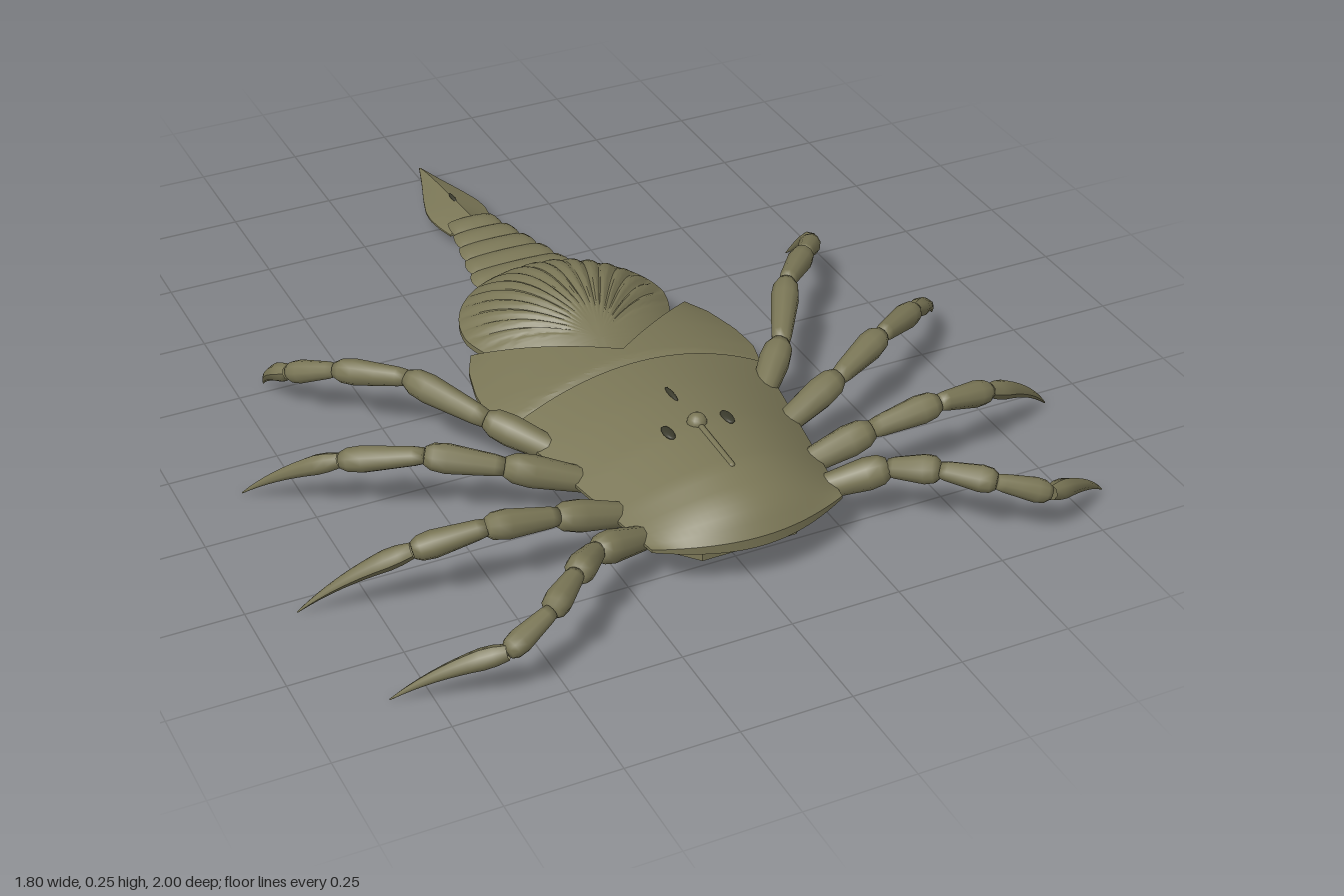
import * as THREE from 'three';
import { toCreasedNormals } from 'three/addons/utils/BufferGeometryUtils.js';

const olive = new THREE.MeshStandardMaterial({ color: 0x7a7656, side: THREE.DoubleSide });
const dark = new THREE.MeshStandardMaterial({ color: 0x3a3a2c });
const { lerp, smoothstep } = THREE.MathUtils;

function add(parent, name, geometry, material = olive) {
  const mesh = new THREE.Mesh(geometry, material);
  mesh.name = name;
  parent.add(mesh);
  return mesh;
}

// Piecewise linear lookup in [[position, value], ...] with rising positions
function sample(table, p) {
  if (p <= table[0][0]) return table[0][1];
  for (let i = 1; i < table.length; i++) {
    const [a, va] = table[i - 1], [b, vb] = table[i];
    if (p <= b) return lerp(va, vb, (p - a) / (b - a));
  }
  return table[table.length - 1][1];
}

// Closed plate: f(u, t) gives [x, top, bottom, z], u in -1..1, t in 0..1
function plate(nu, nt, f) {
  const pos = [], index = [], ring = 2 * (nu + 1);
  for (let j = 0; j <= nt; j++) {
    const row = [];
    for (let i = 0; i <= nu; i++) row.push(f((2 * i) / nu - 1, j / nt));
    for (const [x, top, , z] of row) pos.push(x, top, z);
    for (const [x, , bottom, z] of row.reverse()) pos.push(x, bottom, z);
  }
  const quad = (a, b, c, d) => index.push(a, b, c, a, c, d);
  for (let j = 0; j < nt; j++)
    for (let i = 0; i < ring; i++) {
      const n = (i + 1) % ring, a = j * ring, b = a + ring;
      quad(a + i, b + i, b + n, a + n);
    }
  for (let i = 0; i < nu; i++) {
    const k = ring - 1 - i, e = nt * ring;
    quad(i, i + 1, k - 1, k);
    quad(e + i, e + k, e + k - 1, e + i + 1);
  }
  const geo = new THREE.BufferGeometry();
  geo.setAttribute('position', new THREE.Float32BufferAttribute(pos, 3));
  geo.setIndex(index);
  return toCreasedNormals(geo, 0.6);
}

// Swollen leg segment between two joints
function segment(parent, name, a, b, r) {
  const len = a.distanceTo(b);
  const profile = [[0, 0], [0.6, 0], [0.72, 0.12], [0.85, 0.4], [1, 0.72], [0.9, 0.9], [0.6, 1], [0, 1.01]]
    .map(([x, y]) => new THREE.Vector2(x * r, y * len));
  const mesh = add(parent, name, new THREE.LatheGeometry(profile, 10));
  mesh.position.copy(a);
  mesh.quaternion.setFromUnitVectors(new THREE.Vector3(0, 1, 0), b.clone().sub(a).normalize());
}

// Curved claw: a tube narrowed ring by ring to a point
function claw(parent, a, b, r) {
  const mid = a.clone().lerp(b, 0.5).add(new THREE.Vector3(0.02, 0.025, 0));
  const curve = new THREE.QuadraticBezierCurve3(a, mid, b);
  const n = 10, sides = 8;
  const geo = new THREE.TubeGeometry(curve, n, r, sides);
  const p = geo.attributes.position, v = new THREE.Vector3();
  for (let i = 0; i < p.count; i++) {
    const t = Math.floor(i / (sides + 1)) / n;
    const c = curve.getPointAt(t);
    v.fromBufferAttribute(p, i).sub(c).multiplyScalar(sample([[0, 0.7], [0.15, 1], [1, 0.06]], t)).add(c);
    p.setXYZ(i, v.x, v.y, v.z);
  }
  geo.computeVertexNormals();
  add(parent, 'claw', geo);
}

export function createModel() {
  const model = new THREE.Group();
  model.name = 'armouredArthropod';

  // Domed head shield, tapering to a rounded front
  const rise = [[0, 0.088], [0.25, 0.098], [0.5, 0.104], [0.75, 0.098], [0.88, 0.076], [0.95, 0.05], [1, 0.01]];
  add(model, 'headShield', plate(28, 32, (u, t) => {
    const z = lerp(0.28, 0.865 - 0.065 * u * u, t);
    const dome = 1 - u * u;
    return [u * sample([[0.28, 0.31], [0.8, 0.222], [0.87, 0.21]], z),
      0.122 + sample(rise, t) * dome, 0.115 - 0.025 * dome * (1 - 0.7 * t), z];
  }));

  // Second shield with a V notch and two rear horns
  const midWidth = [[-0.03, 0.27], [0.03, 0.3], [0.12, 0.322], [0.2, 0.328], [0.28, 0.308]];
  add(model, 'midShield', plate(28, 16, (u, t) => {
    const z = lerp(0.2 - 0.23 * Math.abs(u), 0.28, t);
    const dome = 1 - u * u;
    const step = 1 - smoothstep(z, 0.28 - 0.05 * dome, 0.281);
    return [u * sample(midWidth, z), 0.115 + (0.045 + 0.035 * step) * dome, 0.105 - 0.015 * dome, z];
  }));

  // Ribbed fan shell over the abdomen; ribs spread from a hinge near the front
  add(model, 'fanShell', plate(192, 16, (u, t) => {
    const a = u * Math.PI;
    const pinch = 1 - 0.12 * Math.max(0, Math.cos(a));
    const x = t * 0.25 * Math.sin(a) * pinch;
    const z = lerp(0.08, -0.1 + 0.24 * Math.cos(a), t);
    const s = Math.min(1, Math.hypot(x / (0.25 * pinch), (z + 0.1) / 0.24));
    const mask = smoothstep(-Math.cos(a), -0.45, 0.1) * smoothstep(t, 0.1, 0.4) * (1 - smoothstep(t, 0.9, 1));
    const rib = -0.007 * mask * Math.pow(0.5 - 0.5 * Math.cos(30 * a), 2);
    return [x, 0.108 + 0.095 * (1 - Math.pow(s, 2.2)) + rib, 0.095, z];
  }));

  // Overlapping abdomen and tail rings, partly under the shell
  const tail = new THREE.Group();
  tail.name = 'tail';
  model.add(tail);
  for (let i = 0; i < 9; i++) {
    const front = -0.045 - 0.069 * i, w = 0.187 - 0.0152 * i;
    const y = sample([[0, 0.092], [3, 0.09], [8, 0.06]], i);
    add(tail, 'tailRing' + (i + 1), plate(14, 8, (u, t) => {
      const bulge = Math.sin(Math.PI * (0.1 + 0.85 * (1 - t)));
      const dome = Math.sqrt(Math.max(0, 1 - u * u));
      return [u * w * (0.88 + 0.12 * bulge), y + (0.006 + 0.016 * bulge) * dome,
        y - (0.004 + 0.009 * bulge) * dome, front - 0.076 * (1 - t)];
    }));
  }

  // Leaf-shaped tail spike
  const spikeWidth = [[-1, 0.002], [-0.93, 0.024], [-0.85, 0.052], [-0.79, 0.07], [-0.75, 0.074], [-0.7, 0.068], [-0.66, 0.058]];
  add(tail, 'tailSpike', plate(12, 24, (u, t) => {
    const z = lerp(-1, -0.66, t);
    return [u * sample(spikeWidth, z), 0.036 + 0.038 * Math.pow(t, 0.7) * (1 - Math.abs(u)), 0.031, z];
  }));
  const tailSlit = add(tail, 'tailSlit', new THREE.SphereGeometry(1, 10, 6), dark);
  tailSlit.scale.set(0.005, 0.005, 0.024);
  tailSlit.position.set(0, 0.064, -0.78);

  // Flat breast plate underneath
  const half = [[0.11, 0.81], [0.19, 0.72], [0.22, 0.45], [0.13, 0.2]];
  const outline = [...half, ...half.map(([x, z]) => [-x, z]).reverse()].map(([x, z]) => new THREE.Vector2(x, -z));
  const breast = add(model, 'breastPlate', new THREE.ExtrudeGeometry(new THREE.Shape(outline), { depth: 0.035, bevelEnabled: false }));
  breast.rotation.x = -Math.PI / 2;
  breast.position.y = 0.065;

  // Eye bump, crest and slits on the head shield
  add(model, 'eyeBump', new THREE.SphereGeometry(0.022, 16, 10)).position.set(0, 0.224, 0.56);
  const crest = add(model, 'crest', new THREE.CapsuleGeometry(0.007, 0.15, 4, 8));
  crest.rotation.x = Math.PI / 2 + 0.05;
  crest.position.set(0, 0.221, 0.645);
  for (const [name, x, y, z, w, l] of [['leftEye', 0.07, 0.22, 0.565, 0.012, 0.026],
    ['rightEye', -0.07, 0.22, 0.565, 0.012, 0.026], ['backSlit', 0, 0.221, 0.44, 0.006, 0.03]]) {
    const slit = add(model, name, new THREE.SphereGeometry(1, 12, 8), dark);
    slit.scale.set(w, 0.006, l);
    slit.position.set(x, y, z);
  }

  // Four pairs of jointed legs, front to rear
  const legs = [
    [[0.19, 0.1, 0.73], [0.34, 0.15, 0.785], [0.42, 0.168, 0.86], [0.51, 0.162, 0.94], [0.62, 0.125, 0.978], [0.83, 0.002, 0.875]],
    [[0.18, 0.1, 0.65], [0.37, 0.16, 0.66], [0.53, 0.188, 0.667], [0.68, 0.155, 0.635], [0.9, 0.002, 0.54]],
    [[0.2, 0.1, 0.52], [0.4, 0.165, 0.46], [0.55, 0.19, 0.385], [0.7, 0.155, 0.28], [0.865, 0.002, 0.1]],
    [[0.22, 0.1, 0.42], [0.36, 0.155, 0.27], [0.47, 0.185, 0.09], [0.59, 0.16, -0.04], [0.665, 0.115, -0.14], [0.68, 0.002, -0.285]],
  ];
  for (const side of [1, -1])
    legs.forEach((joints, n) => {
      const leg = new THREE.Group();
      leg.name = (side > 0 ? 'left' : 'right') + 'Leg' + (n + 1);
      leg.scale.x = side;
      const p = joints.map((j) => new THREE.Vector3(...j));
      const last = p.length - 2;
      for (let i = 0; i < last; i++) segment(leg, 'legSegment' + (i + 1), p[i], p[i + 1], 0.036 - 0.003 * i);
      claw(leg, p[last], p[last + 1], 0.024);
      model.add(leg);
    });

  return model;
}
